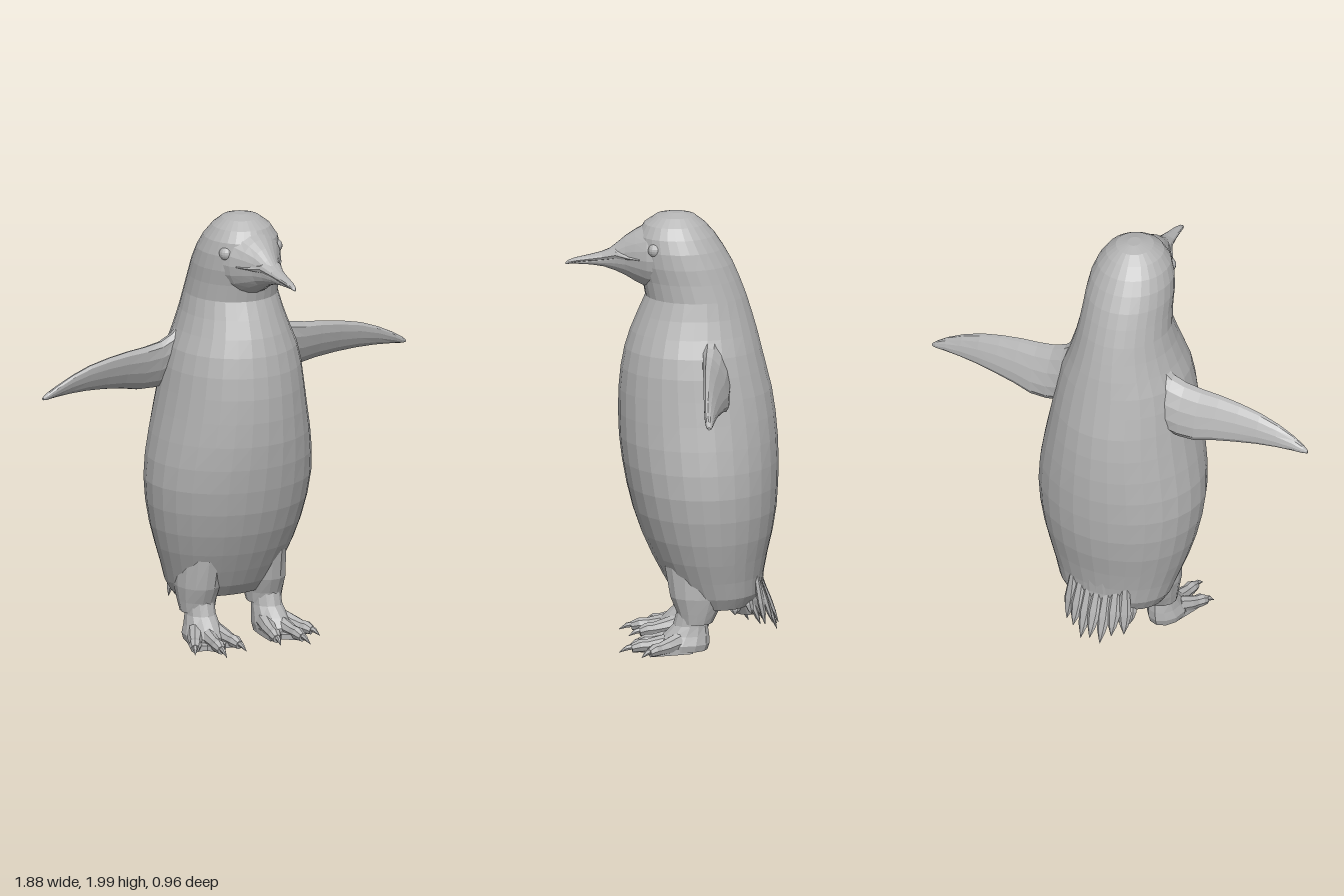
import * as THREE from 'three';

const plumage = new THREE.MeshStandardMaterial({ color: 0xb4b4b4, flatShading: true });
plumage.name = 'plain grey';

const V = (x, y, z) => new THREE.Vector3(x, y, z);

// Closed skin over a list of rings with equal point counts; faces always end up outward.
function loft(name, rings) {
  const n = rings[0].length, pos = [], idx = [];
  rings.forEach(r => r.forEach(p => pos.push(p.x, p.y, p.z)));
  for (let i = 0; i < rings.length - 1; i++) {
    for (let j = 0; j < n; j++) {
      const a = i * n + j, b = i * n + (j + 1) % n;
      idx.push(a, b, b + n, a, b + n, a + n);
    }
  }
  [0, rings.length - 1].forEach(i => {
    const c = V(0, 0, 0);
    rings[i].forEach(p => c.addScaledVector(p, 1 / n));
    const k = pos.length / 3;
    pos.push(c.x, c.y, c.z);
    for (let j = 0; j < n; j++) {
      const a = i * n + j, b = i * n + (j + 1) % n;
      if (i) idx.push(a, b, k); else idx.push(b, a, k);
    }
  });
  const at = i => V(pos[3 * i], pos[3 * i + 1], pos[3 * i + 2]);
  let volume = 0;
  for (let t = 0; t < idx.length; t += 3) volume += at(idx[t]).dot(at(idx[t + 1]).cross(at(idx[t + 2])));
  if (volume < 0) idx.reverse();
  const g = new THREE.BufferGeometry();
  g.setAttribute('position', new THREE.Float32BufferAttribute(pos, 3));
  g.setIndex(idx);
  g.computeVertexNormals();
  const m = new THREE.Mesh(g, plumage);
  m.name = name;
  return m;
}

// Ellipse around a centre, spanned by two half-axis vectors
const ring = (c, u, v, n) => Array.from({ length: n }, (_, i) => {
  const a = (i / n) * Math.PI * 2;
  return c.clone().addScaledVector(u, Math.cos(a)).addScaledVector(v, Math.sin(a));
});

// Horizontal ring from centre x, height, half width, front z and back z
const level = (x, y, w, f, b, n) => ring(V(x, y, (f + b) / 2), V(w, 0, 0), V(0, 0, (f - b) / 2), n);

// Upright ring from z, half width, top and bottom
const slice = (z, w, t, b, n) => ring(V(0, (t + b) / 2, z), V(w, 0, 0), V(0, (t - b) / 2, 0), n);

// Tapering limb along points [x, y, z, half width, half thickness]
function limb(name, pts, n = 8) {
  const d = V(...pts[pts.length - 1]).sub(V(...pts[0])).normalize();
  const side = V(0, 1, 0).cross(d);
  if (side.length() < 0.05) side.set(1, 0, 0);
  side.normalize();
  const up = d.clone().cross(side);
  return loft(name, pts.map(p => ring(V(p[0], p[1], p[2]),
    side.clone().multiplyScalar(p[3]), up.clone().multiplyScalar(p[4]), n)));
}

// Height, half width, front z, back z
const BODY = [
  [2.0, 0.03, 0.02, -0.05], [1.985, 0.085, 0.08, -0.1], [1.95, 0.13, 0.13, -0.145], [1.9, 0.165, 0.16, -0.19],
  [1.84, 0.187, 0.165, -0.23], [1.77, 0.197, 0.16, -0.27], [1.7, 0.2, 0.14, -0.3], [1.62, 0.208, 0.125, -0.33],
  [1.54, 0.228, 0.16, -0.355], [1.46, 0.255, 0.193, -0.378], [1.38, 0.288, 0.218, -0.398], [1.29, 0.31, 0.235, -0.42],
  [1.19, 0.326, 0.245, -0.445], [1.08, 0.345, 0.247, -0.462], [0.97, 0.366, 0.243, -0.472], [0.86, 0.383, 0.23, -0.476],
  [0.75, 0.389, 0.21, -0.474], [0.64, 0.378, 0.183, -0.467], [0.53, 0.356, 0.145, -0.45], [0.43, 0.327, 0.1, -0.427],
  [0.34, 0.295, 0.053, -0.41], [0.26, 0.268, 0.008, -0.4], [0.205, 0.235, -0.035, -0.37],
];

// z, half width, top, bottom
const FACE = [
  [-0.02, 0.17, 1.97, 1.63], [0.05, 0.162, 1.968, 1.635], [0.12, 0.135, 1.945, 1.655], [0.17, 0.102, 1.918, 1.68],
  [0.215, 0.071, 1.888, 1.707], [0.26, 0.048, 1.85, 1.728], [0.31, 0.031, 1.812, 1.746],
  [0.37, 0.021, 1.79, 1.755], [0.43, 0.014, 1.775, 1.758], [0.465, 0.007, 1.768, 1.759],
];
const UPPER_BILL = [
  [0.15, 0.121, 1.815, 1.787], [0.2, 0.089, 1.82, 1.782], [0.26, 0.056, 1.84, 1.778], [0.32, 0.036, 1.815, 1.773],
  [0.38, 0.026, 1.8, 1.769], [0.44, 0.018, 1.787, 1.763], [0.47, 0.011, 1.776, 1.757], [0.484, 0.003, 1.764, 1.756],
];

// x, top y, top z, bottom y, bottom z, half thickness
const WING = [
  [0.2, 1.5, -0.16, 1.2, -0.23, 0.05], [0.27, 1.435, -0.155, 1.18, -0.235, 0.052], [0.33, 1.408, -0.15, 1.17, -0.24, 0.046],
  [0.41, 1.395, -0.148, 1.172, -0.24, 0.04], [0.5, 1.387, -0.146, 1.193, -0.228, 0.034], [0.6, 1.372, -0.145, 1.208, -0.215, 0.029],
  [0.7, 1.35, -0.145, 1.218, -0.2, 0.025], [0.79, 1.317, -0.145, 1.222, -0.188, 0.021], [0.87, 1.277, -0.147, 1.221, -0.178, 0.018],
  [0.92, 1.245, -0.152, 1.218, -0.172, 0.014], [0.94, 1.229, -0.158, 1.219, -0.166, 0.006],
];

function wing(s) {
  return loft('wing', WING.map(([x, ty, tz, by, bz, h]) => {
    const half = V(0, (ty - by) / 2, (tz - bz) / 2);
    const thick = V(0, -half.z, half.y).normalize().multiplyScalar(h);
    return ring(V(s * x, (ty + by) / 2, (tz + bz) / 2), half, thick, 12);
  }));
}

function leg(s) {
  const g = new THREE.Group();
  g.name = 'leg';
  // feathered thigh cuff
  g.add(loft('thighFeathers', [
    level(s * 0.165, 0.4, 0.1, 0.04, -0.28, 14), level(s * 0.17, 0.26, 0.1, 0.015, -0.24, 14),
    level(s * 0.172, 0.19, 0.088, -0.015, -0.205, 14), level(s * 0.172, 0.14, 0.08, -0.03, -0.18, 14),
  ]));
  // ankle and heel
  g.add(loft('ankle', [
    level(s * 0.172, 0.2, 0.066, -0.02, -0.155, 12), level(s * 0.172, 0.13, 0.068, 0.0, -0.155, 12),
    level(s * 0.175, 0.085, 0.075, 0.045, -0.163, 12), level(s * 0.18, 0.045, 0.085, 0.08, -0.165, 12),
    level(s * 0.18, 0.015, 0.08, 0.08, -0.155, 12),
  ]));
  // webbing between the toes
  const web = [[0.11, -0.09], [0.095, 0.0], [0.085, 0.11], [0.145, 0.105], [0.2, 0.155], [0.235, 0.1], [0.295, 0.085], [0.27, 0.0], [0.24, -0.09]];
  g.add(loft('web', [0.006, 0.03].map(y => web.map(([x, z]) => V(s * x, y, z)))));
  // toes with a knuckle and a claw
  [[0.13, 0.098, 0.15], [0.185, 0.21, 0.185], [0.225, 0.302, 0.105]].forEach(([x0, x1, z1]) => {
    const at = (t, y, w, h) => [s * (x0 + (x1 - x0) * t), y, -0.03 + (z1 + 0.03) * t, w, h];
    g.add(limb('toe', [at(0, 0.06, 0.035, 0.045), at(0.4, 0.045, 0.034, 0.036), at(0.65, 0.037, 0.027, 0.03),
      at(0.82, 0.036, 0.03, 0.03), at(1, 0.026, 0.02, 0.021)]));
    g.add(limb('claw', [at(0.93, 0.035, 0.013, 0.015), at(1.1, 0.028, 0.01, 0.012), at(1.27, 0.008, 0.001, 0.001)], 6));
  });
  return g;
}

// Ragged tail: three rows of pointed feathers under a short rump
function tail() {
  const g = new THREE.Group();
  g.name = 'tail';
  g.add(loft('rump', [
    level(0, 0.42, 0.16, -0.2, -0.42, 14), level(0, 0.3, 0.15, -0.19, -0.408, 14),
    level(0, 0.22, 0.13, -0.22, -0.41, 14), level(0, 0.15, 0.09, -0.27, -0.405, 14),
  ]));
  [[7, 0.13, 0.34, -0.375, 0.07, -0.475], [6, 0.13, 0.27, -0.33, 0.09, -0.415], [5, 0.1, 0.25, -0.28, 0.105, -0.34]]
    .forEach(([n, span, y0, z0, y1, z1]) => {
      for (let i = 0; i < n; i++) {
        const t = (i / (n - 1)) * 2 - 1, x = t * span;
        const tipY = y1 + 0.05 * t * t + (i % 2) * 0.025, tipZ = z1 + 0.06 * t * t;
        const mix = k => [x * (1 + 0.1 * k), y0 + (tipY - y0) * k, z0 + (tipZ - z0) * k];
        g.add(limb('tailFeather', [[...mix(0), 0.02, 0.012], [...mix(0.55), 0.032, 0.014], [...mix(0.8), 0.02, 0.01], [...mix(1), 0.001, 0.001]], 6));
      }
    });
  return g;
}

export function createModel() {
  const model = new THREE.Group();
  model.name = 'penguin';
  model.add(loft('body', BODY.map(([y, w, f, b]) => level(0, y, w, f, b, 28))));
  model.add(loft('face', FACE.map(r => slice(...r, 20))));
  model.add(loft('upperBill', UPPER_BILL.map(r => slice(...r, 12))));
  for (const s of [1, -1]) {
    const eye = new THREE.Mesh(new THREE.SphereGeometry(0.033, 14, 10), plumage);
    eye.name = 'eye';
    eye.position.set(s * 0.127, 1.85, 0.08);
    model.add(eye, wing(s), leg(s));
  }
  model.add(tail());
  return model;
}
